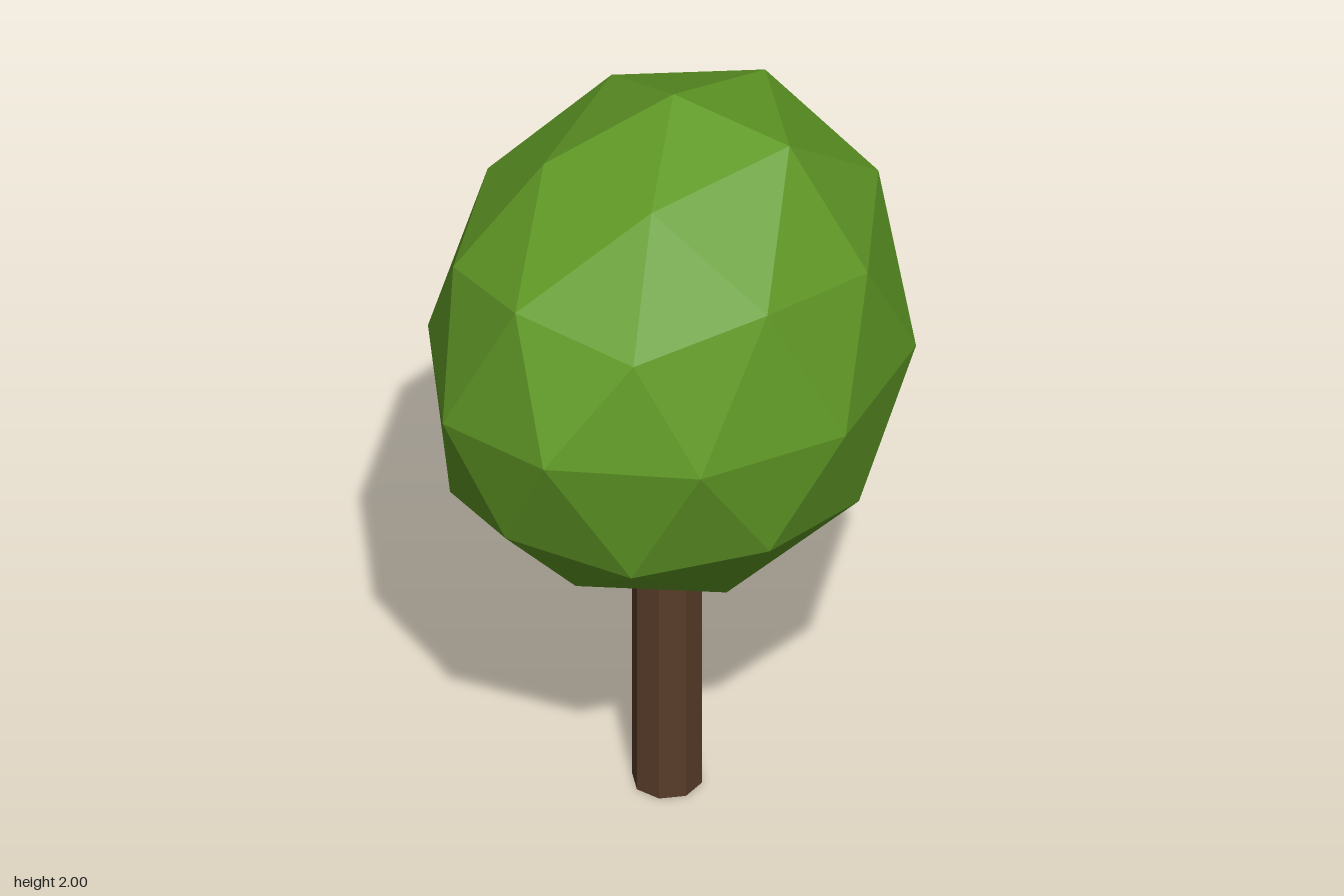
import * as THREE from 'three';

// Foliage cross-sections from top to bottom, each going round the trunk axis
const top = [0, 2, -0.03];
const crown = [[0.28, 1.94, -0.15], [0.21, 1.89, 0.23], [-0.14, 1.86, 0.26], [-0.31, 1.85, -0.11], [-0.04, 1.89, -0.36]];
const upper = [
  [0.47, 1.63, -0.23], [0.49, 1.68, 0.11], [0.39, 1.64, 0.45], [0.08, 1.68, 0.55], [-0.23, 1.61, 0.47],
  [-0.44, 1.64, 0.17], [-0.52, 1.58, -0.17], [-0.36, 1.66, -0.44], [-0.09, 1.58, -0.6], [0.23, 1.68, -0.48]];
const middle = [
  [0.58, 1.29, -0.06], [0.53, 1.34, 0.36], [0.28, 1.37, 0.64], [-0.09, 1.3, 0.63], [-0.42, 1.29, 0.38],
  [-0.58, 1.28, 0.01], [-0.52, 1.31, -0.37], [-0.27, 1.29, -0.62], [0.09, 1.28, -0.645], [0.42, 1.29, -0.43]];
const lower = [
  [0.52, 1.01, 0.13], [0.36, 0.99, 0.43], [0.09, 1.04, 0.59], [-0.23, 0.95, 0.48], [-0.47, 1, 0.23],
  [-0.5, 0.95, -0.11], [-0.39, 1.02, -0.45], [-0.08, 0.95, -0.56], [0.24, 1, -0.5], [0.45, 0.95, -0.22]];
const base = [[0.3, 0.74, 0.07], [0.04, 0.74, 0.32], [-0.28, 0.74, 0.15], [-0.21, 0.74, -0.25], [0.17, 0.74, -0.31]];
const bottom = [0, 0.65, 0];

// Joins the rings with triangles: cap, 5-to-10 band, two 10-sided bands, 10-to-5 band, cap
function foliageGeometry() {
  const positions = [];
  const tri = (a, b, c) => positions.push(...a, ...b, ...c);
  const at = (ring, i) => ring[(i + ring.length) % ring.length];
  for (let i = 0; i < 5; i++) {
    const a = crown[i], a2 = at(crown, i + 1), e = base[i], e2 = at(base, i + 1), j = 2 * i;
    tri(top, a2, a);
    tri(at(upper, j), at(upper, j - 1), a);
    tri(at(upper, j + 1), at(upper, j), a);
    tri(a, a2, at(upper, j + 1));
    tri(at(lower, j - 1), at(lower, j), e);
    tri(at(lower, j), at(lower, j + 1), e);
    tri(e2, e, at(lower, j + 1));
    tri(e, e2, bottom);
  }
  for (const [u, l] of [[upper, middle], [middle, lower]]) {
    for (let j = 0; j < 10; j++) {
      tri(u[j], at(u, j + 1), l[j]);
      tri(at(l, j + 1), l[j], at(u, j + 1));
    }
  }
  const geometry = new THREE.BufferGeometry();
  geometry.setAttribute('position', new THREE.Float32BufferAttribute(positions, 3));
  geometry.computeVertexNormals();
  return geometry;
}

export function createModel() {
  const tree = new THREE.Group();
  tree.name = 'tree';

  const leafGreen = new THREE.MeshStandardMaterial({ color: 0x619a26, flatShading: true });
  leafGreen.name = 'leaf green';
  const barkBrown = new THREE.MeshStandardMaterial({ color: 0x583c29, flatShading: true });
  barkBrown.name = 'bark brown';

  const foliage = new THREE.Mesh(foliageGeometry(), leafGreen);
  foliage.name = 'foliage';

  // Trunk, its top tucked into the foliage
  const trunk = new THREE.Mesh(new THREE.CylinderGeometry(0.085, 0.085, 0.72, 8, 1, false, -0.17), barkBrown);
  trunk.name = 'trunk';
  trunk.position.set(0.01, 0.36, 0);

  tree.add(foliage, trunk);
  return tree;
}
